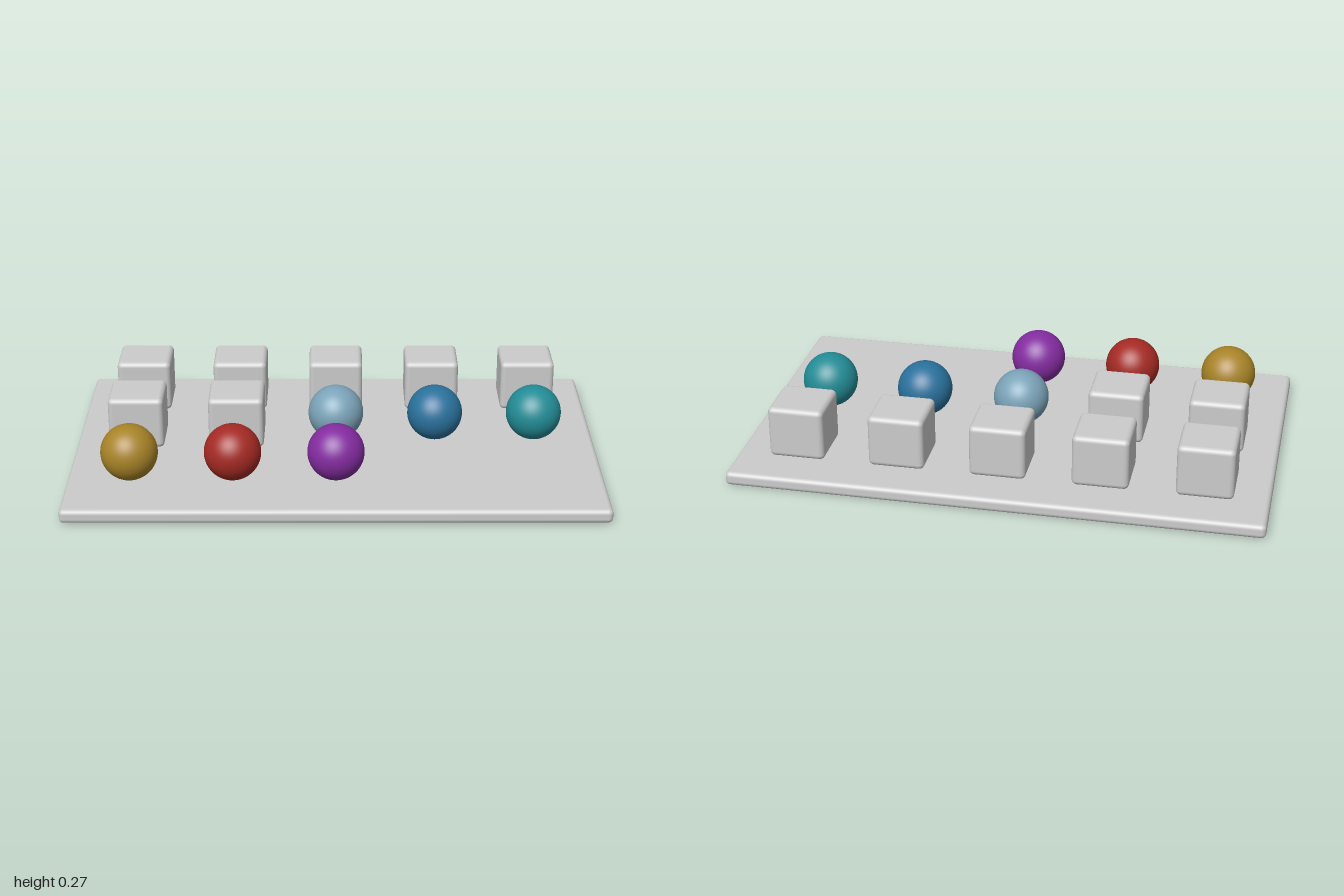
import * as THREE from 'three';
import { RoundedBoxGeometry } from 'three/addons/geometries/RoundedBoxGeometry.js';

const COLUMN_STEP = 0.382;
const ROW_Z = [-0.367, -0.005, 0.355];

// Each row lists its pieces from -x to +x: 'cube' or a ball colour
const ROWS = [
  ['cube', 'cube', 'cube', 'cube', 'cube'],
  ['cube', 'cube', 0x7ba3b8, 0x2a719c, 0x238c96],
  [0xa88428, 0xa52a24, 0x842ca0],
];

export function createModel() {
  const model = new THREE.Group();
  model.name = 'boardWithCubesAndBalls';
  const grey = new THREE.MeshStandardMaterial({ color: 0xcccccc });

  function add(name, geometry, material, x, y, z) {
    const mesh = new THREE.Mesh(geometry, material);
    mesh.name = name;
    mesh.position.set(x, y, z);
    model.add(mesh);
  }

  // Flat board with softened edges
  add('board', new RoundedBoxGeometry(2, 0.053, 1.23, 4, 0.018), grey, 0, 0.0265, 0);

  // Cubes and balls hovering just above the board
  const cube = new RoundedBoxGeometry(0.211, 0.201, 0.211, 4, 0.02);
  const ball = new THREE.SphereGeometry(0.106, 48, 32);
  ROWS.forEach((row, r) => {
    row.forEach((piece, c) => {
      const x = (c - 2) * COLUMN_STEP;
      const label = `Row${r + 1}Column${c + 1}`;
      if (piece === 'cube') {
        add('cube' + label, cube, grey, x, 0.162, ROW_Z[r]);
      } else {
        const paint = new THREE.MeshStandardMaterial({ color: piece });
        add('ball' + label, ball, paint, x, 0.167, ROW_Z[r]);
      }
    });
  });

  return model;
}
